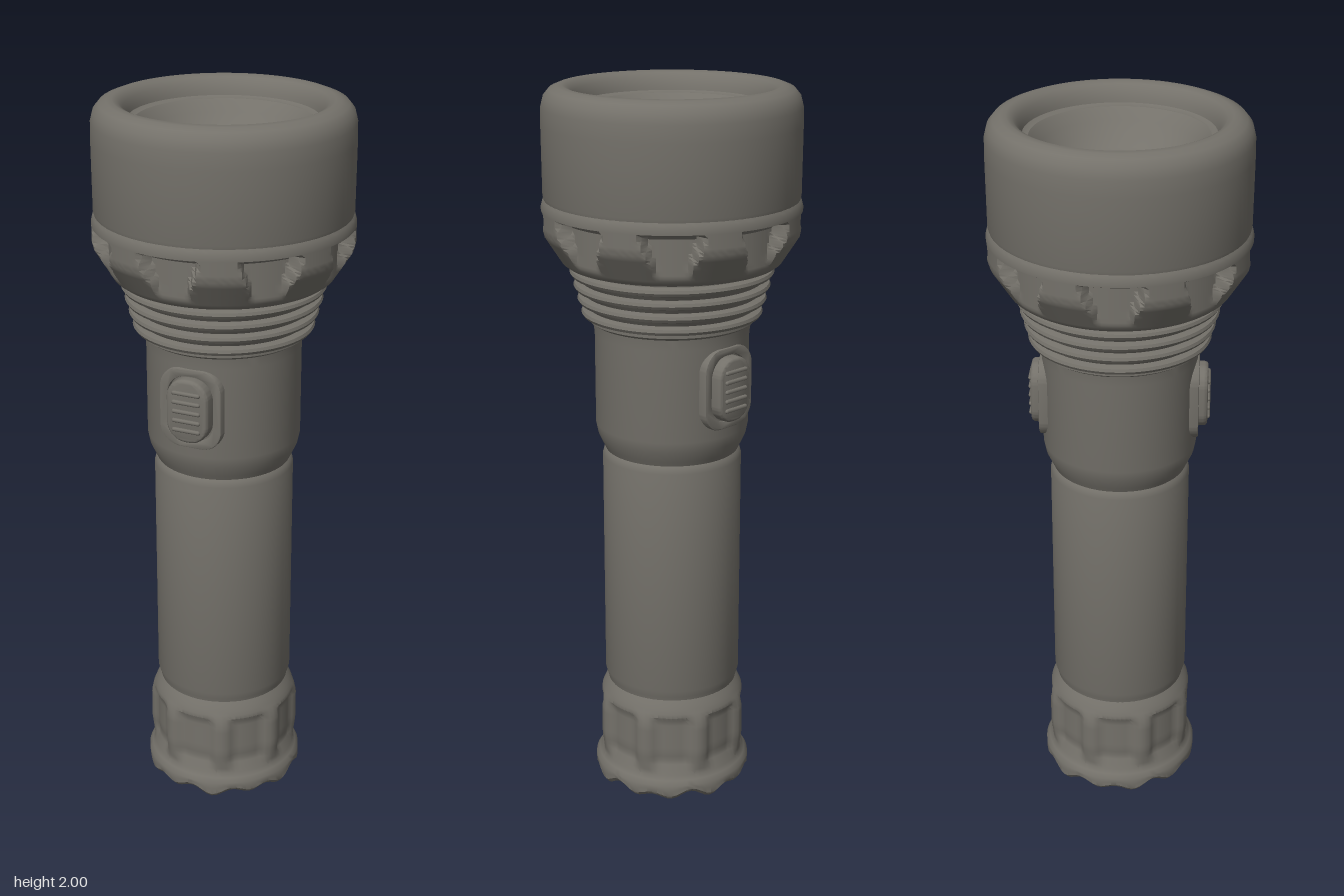
import * as THREE from 'three';
import { mergeVertices, toCreasedNormals } from 'three/addons/utils/BufferGeometryUtils.js';

const V2 = (p) => new THREE.Vector2(p[0], p[1]);
const smooth = THREE.MathUtils.smoothstep;

// Resample a profile so that displaced areas have enough rows
function subdivide(points, step) {
  const out = [points[0]];
  for (let i = 1; i < points.length; i++) {
    const [a, b] = [points[i - 1], points[i]];
    const n = Math.max(1, Math.round(Math.hypot(b[0] - a[0], b[1] - a[1]) / step));
    for (let k = 1; k <= n; k++) out.push([a[0] + (b[0] - a[0]) * k / n, a[1] + (b[1] - a[1]) * k / n]);
  }
  return out;
}

// Turned part; rule(radius, y, angle) may return a changed [radius, y]
function turned(profile, segments, rule, crease = 0.6) {
  const geo = new THREE.LatheGeometry(profile.map(V2), segments);
  geo.deleteAttribute('uv');
  geo.deleteAttribute('normal');
  const pos = geo.attributes.position;
  if (rule) {
    for (let i = 0; i < pos.count; i++) {
      const x = pos.getX(i), z = pos.getZ(i);
      const angle = Math.atan2(x, z);
      const [r, y] = rule(Math.hypot(x, z), pos.getY(i), angle);
      pos.setXYZ(i, Math.sin(angle) * r, y, Math.cos(angle) * r);
    }
  }
  return toCreasedNormals(mergeVertices(geo, 1e-5), crease);
}

// Signed angle to the nearest of n evenly spaced centres
function nearest(angle, n) {
  const s = Math.PI * 2 / n;
  return angle - Math.round(angle / s) * s;
}

function roundedRect(w, h, r, Type = THREE.Shape) {
  const s = new Type(), x = w / 2, y = h / 2;
  s.moveTo(-x + r, -y);
  s.lineTo(x - r, -y);
  s.absarc(x - r, -y + r, r, -Math.PI / 2, 0);
  s.lineTo(x, y - r);
  s.absarc(x - r, y - r, r, 0, Math.PI / 2);
  s.lineTo(-x + r, y);
  s.absarc(-x + r, y - r, r, Math.PI / 2, Math.PI);
  s.lineTo(-x, -y + r);
  s.absarc(-x + r, -y + r, r, Math.PI, Math.PI * 1.5);
  return s;
}

export function createModel() {
  const model = new THREE.Group();
  const metal = new THREE.MeshStandardMaterial({ color: 0x74716a });
  metal.name = 'warm grey';
  const add = (name, geo, parent = model) => {
    const mesh = new THREE.Mesh(geo, metal);
    mesh.name = name;
    parent.add(mesh);
    return mesh;
  };

  // Tail cap: wavy foot and eight scalloped grip panels
  const tail = subdivide([[0, 0.025], [0.19, 0.018], [0.212, 0.018], [0.222, 0.03], [0.222, 0.055],
    [0.213, 0.068], [0.205, 0.08], [0.208, 0.11], [0.213, 0.15], [0.213, 0.235], [0.207, 0.262],
    [0.192, 0.295], [0.183, 0.31]], 0.014);
  add('tailCap', turned(tail, 96, (r, y, a) => {
    const panel = 1 - smooth(Math.abs(nearest(a, 8)), 0.2, 0.33);
    const band = smooth(y, 0.085, 0.12) * (1 - smooth(y, 0.24, 0.27));
    const edge = smooth(r, 0.17, 0.21) * (1 - smooth(y, 0.03, 0.06));
    const wave = 0.009 * Math.cos(a * 12) + 0.005 * Math.cos(a * 7 + 1);
    return [r - 0.017 * panel * band, y + edge * wave];
  }, 0.7));

  // Long handle
  add('handle', turned([[0.183, 0.305], [0.186, 0.32], [0.192, 0.34], [0.192, 0.99], [0.188, 1.005],
    [0.183, 1.012], [0.183, 1.03]], 64));

  // Switch collar
  add('switchCollar', turned([[0.183, 1.01], [0.19, 1.025], [0.204, 1.055], [0.21, 1.085], [0.21, 1.34],
    [0.214, 1.37], [0.226, 1.378], [0.226, 1.39]], 64));

  // Cooling ribs, widening toward the head
  const ribs = [[0.2, 1.375]];
  for (let i = 0; i < 4; i++) {
    const y = 1.385 + i * 0.037, r = 0.245 + i * 0.01;
    ribs.push([r - 0.022, y], [r - 0.005, y + 0.005], [r, y + 0.013], [r - 0.003, y + 0.021], [r - 0.02, y + 0.026]);
  }
  ribs.push([0.255, 1.54]);
  add('coolingRibs', turned(ribs, 64));

  // Head collar with eight notches
  const collar = subdivide([[0.24, 1.532], [0.285, 1.532], [0.296, 1.54], [0.342, 1.612], [0.347, 1.63],
    [0.347, 1.685], [0.343, 1.7], [0.338, 1.708]], 0.009);
  add('headCollar', turned(collar, 192, (r, y, a) => {
    const half = THREE.MathUtils.lerp(0.16, 0.25, smooth(y, 1.57, 1.675));
    const cut = (1 - smooth(Math.abs(nearest(a, 8)), half - 0.04, half)) * (1 - smooth(y, 1.664, 1.674));
    return [THREE.MathUtils.lerp(r, Math.min(r, 0.306), cut), y];
  }));

  // Head barrel, rounded bezel and dished reflector
  add('headBarrel', turned([[0.338, 1.7], [0.342, 1.715], [0.343, 1.9], [0.342, 1.945], [0.335, 1.972],
    [0.32, 1.99], [0.3, 1.998], [0.285, 2], [0.27, 1.994], [0.258, 1.98], [0.25, 1.962], [0.247, 1.95],
    [0.236, 1.945], [0.231, 1.945]], 80));
  add('reflector', turned([[0.231, 1.945], [0.224, 1.938], [0.205, 1.915], [0.18, 1.885], [0.15, 1.86],
    [0.115, 1.845], [0.06, 1.837], [0, 1.835]], 80, null, 1));

  // Switch with surround and ridges, on the front and the back
  for (const [name, turn] of [['frontSwitch', 0], ['backSwitch', Math.PI]]) {
    const group = new THREE.Group();
    group.name = name;
    group.position.y = 1.222;
    group.rotation.y = turn;
    const ring = roundedRect(0.17, 0.215, 0.055);
    ring.holes.push(roundedRect(0.138, 0.19, 0.06, THREE.Path));
    const surround = new THREE.ExtrudeGeometry(ring, {
      depth: 0.045, bevelThickness: 0.004, bevelSize: 0.004, bevelSegments: 2, curveSegments: 8 });
    add('switchSurround', toCreasedNormals(surround, 0.7), group).position.z = 0.166;

    const button = new THREE.ExtrudeGeometry(roundedRect(0.1, 0.158, 0.045), {
      depth: 0.06, bevelThickness: 0.012, bevelSize: 0.01, bevelSegments: 4, curveSegments: 10 });
    add('switchButton', toCreasedNormals(button, 0.7), group).position.z = 0.167;
    for (let i = -2; i <= 2; i++) {
      const ridge = add('buttonRidge', new THREE.CapsuleGeometry(0.006, 0.07, 4, 8), group);
      ridge.rotation.z = Math.PI / 2;
      ridge.position.set(0, i * 0.026, 0.24);
    }
    model.add(group);
  }
  return model;
}
